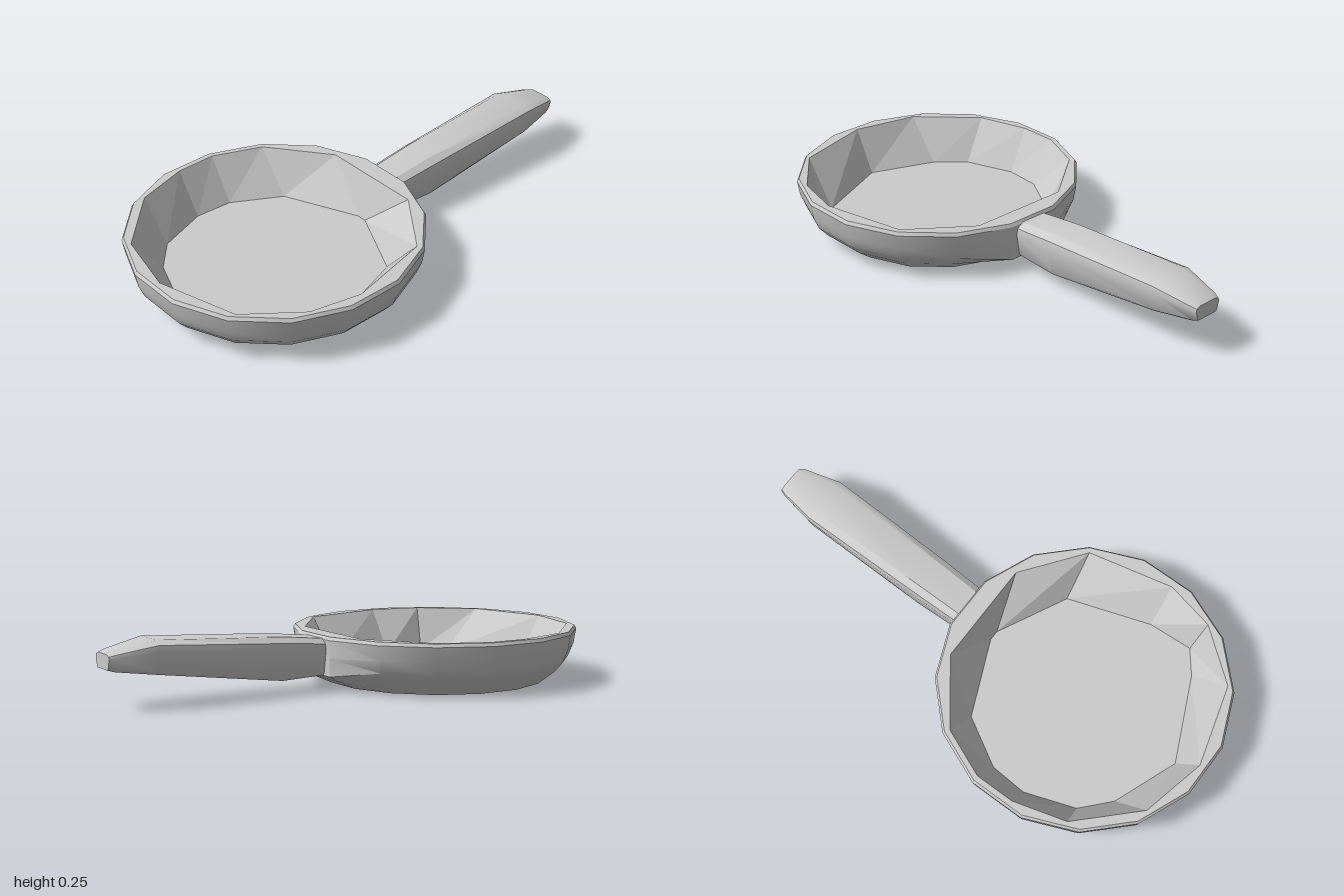
import * as THREE from 'three';
import { toCreasedNormals } from 'three/addons/utils/BufferGeometryUtils.js';

const PAN_X = -0.44;
const RIM_Y = 0.213;
const FLOOR_Y = 0.04;
const SIDES = 16;

// Skins a list of equal rings of points and closes the last ring with a fan.
function loft(rings) {
  const pos = [];
  const tri = (...corners) => corners.forEach(p => pos.push(...p));
  const n = rings[0].length;
  for (let i = 0; i < rings.length - 1; i++) {
    for (let j = 0; j < n; j++) {
      const k = (j + 1) % n, a = rings[i], b = rings[i + 1];
      tri(a[j], a[k], b[k]);
      tri(a[j], b[k], b[j]);
    }
  }
  const last = rings[rings.length - 1];
  const centre = [0, 1, 2].map(c => last.reduce((sum, p) => sum + p[c], 0) / n);
  last.forEach((p, j) => tri(centre, p, last[(j + 1) % n]));
  const geo = new THREE.BufferGeometry();
  geo.setAttribute('position', new THREE.Float32BufferAttribute(pos, 3));
  geo.computeVertexNormals();
  return geo;
}

// Outer shell: a 16-sided bowl, pulled out under the rim to carry the handle.
function outerShell() {
  const profile = [[0, 0], [0.44, 0], [0.505, 0.05], [0.54, 0.09], [0.56, 0.14], [0.57, 0.2], [0.562, RIM_Y]];
  const geo = new THREE.LatheGeometry(profile.map(p => new THREE.Vector2(...p)), SIDES, Math.PI / SIDES);
  const lug = { 2: [0.52, 0.035], 3: [0.57, 0.06], 4: [0.57, 0.13] };
  const pos = geo.attributes.position;
  for (let i = 0; i < pos.count; i++) {
    const target = lug[i % profile.length];
    const x = pos.getX(i), z = pos.getZ(i);
    if (!target || x < 0 || Math.abs(z) > 0.15) continue;
    const scale = target[0] / Math.hypot(x, z);
    pos.setXYZ(i, x * scale, target[1], z * scale);
  }
  geo.translate(PAN_X, 0, 0);
  return toCreasedNormals(geo, 0.45);
}

// Uneven faceted inside: [rim x, rim z, floor x, floor z] around the pan.
const INSIDE = [
  [0.04, -0.21, -0.01, -0.02], [0.04, 0.21, -0.01, 0.02], [-0.14, 0.45, -0.15, 0.30],
  [-0.48, 0.525, -0.48, 0.41], [-0.68, 0.48, -0.66, 0.42], [-0.88, 0.32, -0.73, 0.33],
  [-0.97, 0, -0.88, 0], [-0.91, -0.26, -0.78, -0.26], [-0.70, -0.47, -0.68, -0.37],
  [-0.49, -0.53, -0.48, -0.44], [-0.33, -0.53, -0.33, -0.43], [-0.14, -0.45, -0.14, -0.32],
].reverse();

function innerBowl() {
  return loft([
    INSIDE.map(([x, z]) => [x, RIM_Y, z]),
    INSIDE.map(([, , x, z]) => [x, FLOOR_Y, z]),
  ]);
}

// Flat lip between the outer polygon and the inside opening.
function rimLip() {
  const outer = Array.from({ length: SIDES }, (_, i) => {
    const a = (i + 0.5) * Math.PI * 2 / SIDES;
    return new THREE.Vector2(PAN_X + 0.562 * Math.cos(a), 0.562 * Math.sin(a));
  });
  const shape = new THREE.Shape(outer);
  shape.holes.push(new THREE.Path(INSIDE.map(([x, z]) => new THREE.Vector2(x, -z))));
  return new THREE.ShapeGeometry(shape).rotateX(-Math.PI / 2).translate(0, RIM_Y, 0);
}

// Handle: chamfered sections, narrower underneath, tapering at the tip.
function handleGeometry() {
  const sections = [ // x, bottom, top, half width
    [0.09, 0.062, 0.2, 0.086],
    [0.30, 0.055, 0.222, 0.093],
    [0.82, 0.124, 0.25, 0.102],
    [0.975, 0.143, 0.216, 0.07],
    [1.0, 0.15, 0.207, 0.06],
  ];
  const rings = sections.map(([x, bottom, top, w]) => {
    const h = top - bottom;
    const half = [[0.65, top], [0.95, top - 0.13 * h], [1, top - 0.3 * h], [0.84, bottom + 0.08 * h], [0.75, bottom]];
    return [
      ...half.map(([s, y]) => [x, y, s * w]),
      ...half.map(([s, y]) => [x, y, -s * w]).reverse(),
    ];
  });
  return toCreasedNormals(loft(rings), 0.6);
}

export function createModel() {
  const group = new THREE.Group();
  group.name = 'fryingPan';
  const smooth = new THREE.MeshStandardMaterial({ color: 0xcccccc });
  const faceted = new THREE.MeshStandardMaterial({ color: 0xcccccc, flatShading: true });
  const add = (name, geometry, material) => {
    const mesh = new THREE.Mesh(geometry, material);
    mesh.name = name;
    group.add(mesh);
  };
  add('outerShell', outerShell(), smooth);
  add('innerBowl', innerBowl(), faceted);
  add('rimLip', rimLip(), faceted);
  add('handle', handleGeometry(), smooth);
  return group;
}
